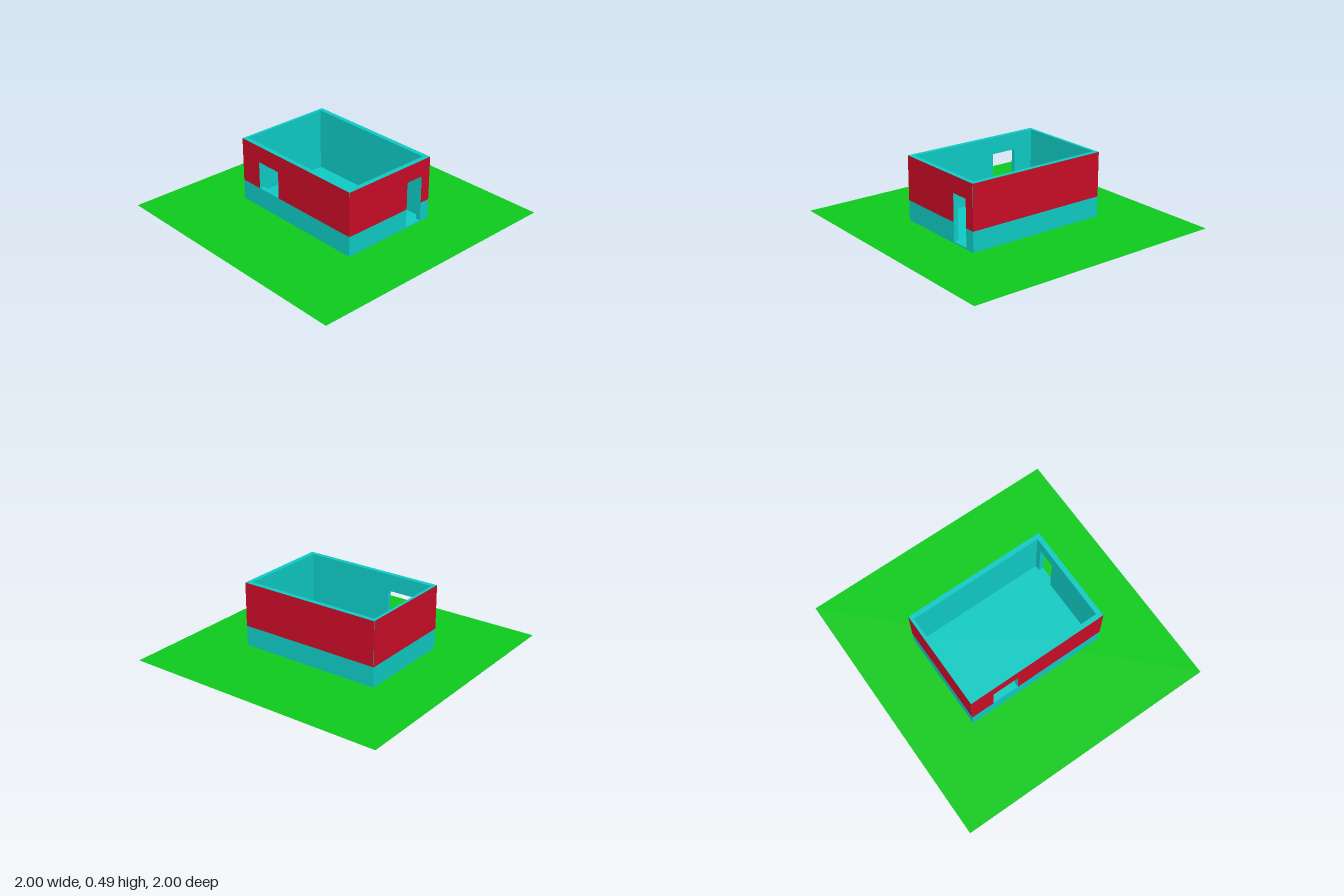
import * as THREE from 'three';

const BASE = 0.01, FLOOR = 0.02, BAND = 0.16, TOP = 0.49, HEAD = 0.366;
const OUT = { left: 0.377, right: -0.377, front: 0.546, back: -0.547 };
const IN = { left: 0.342, right: -0.342, front: 0.51, back: -0.525 };

const cyan = new THREE.MeshStandardMaterial({ color: 0x0fc9c3 });
const red = new THREE.MeshStandardMaterial({ color: 0xc80c26 });
const green = new THREE.MeshStandardMaterial({ color: 0x0dc91d, side: THREE.DoubleSide });

const polygon = pts => pts.map(([x, y]) => new THREE.Vector2(x, y));
const rect = (u0, u1, y0, y1) => polygon([[u0, y0], [u1, y0], [u1, y1], [u0, y1]]);

function addMesh(parent, name, geometry, material) {
  const mesh = new THREE.Mesh(geometry, material);
  mesh.name = name;
  parent.add(mesh);
  return mesh;
}

// One wall facing local +z, with a painted upper skin and an optional opening.
function makeWall({ name, angle, inner, outer, span, skinSpan, opening }) {
  const wall = new THREE.Group();
  wall.name = name;
  const shape = new THREE.Shape(rect(span[0], span[1], BASE, TOP));
  const [s0, s1] = skinSpan;
  let outline = rect(s0, s1, BAND, TOP);
  if (opening) {
    const { u0, u1, sill } = opening;
    shape.holes.push(new THREE.Path(rect(u0, u1, sill, HEAD)));
    outline = polygon([[s0, BAND], [u0, BAND], [u0, HEAD], [u1, HEAD], [u1, BAND],
      [s1, BAND], [s1, TOP], [s0, TOP]]);
  }
  const body = new THREE.ExtrudeGeometry(shape, { depth: outer - inner, bevelEnabled: false });
  addMesh(wall, name + 'Body', body, cyan).position.z = inner;
  const skin = new THREE.ShapeGeometry(new THREE.Shape(outline));
  addMesh(wall, name + 'UpperPaint', skin, red).position.z = outer + 0.001;
  wall.rotation.y = angle;
  return wall;
}

export function createModel() {
  const model = new THREE.Group();
  model.name = 'roofless house';

  // Ground sheet
  addMesh(model, 'ground', new THREE.PlaneGeometry(2, 2).rotateX(-Math.PI / 2), green);

  // Floor slab inside the walls, reaching under the doorway
  const floor = new THREE.BoxGeometry(IN.left - IN.right, FLOOR - BASE, IN.front - IN.back);
  addMesh(model, 'floor', floor, cyan).position.set(0, (BASE + FLOOR) / 2, (IN.front + IN.back) / 2);

  // Four walls: doorway in front, window towards the rear of the -x side
  const width = [OUT.right, OUT.left];
  const walls = [
    { name: 'frontWall', angle: 0, inner: IN.front, outer: OUT.front,
      span: width, skinSpan: width, opening: { u0: 0.16, u1: 0.3, sill: FLOOR } },
    { name: 'backWall', angle: Math.PI, inner: -IN.back, outer: -OUT.back,
      span: width, skinSpan: width },
    { name: 'leftWall', angle: Math.PI / 2, inner: IN.left, outer: OUT.left,
      span: [-IN.front, -IN.back], skinSpan: [-OUT.front, -OUT.back] },
    { name: 'rightWall', angle: -Math.PI / 2, inner: -IN.right, outer: -OUT.right,
      span: [IN.back, IN.front], skinSpan: [OUT.back, OUT.front],
      opening: { u0: -0.37, u1: -0.165, sill: BAND } },
  ];
  for (const w of walls) model.add(makeWall(w));

  return model;
}
